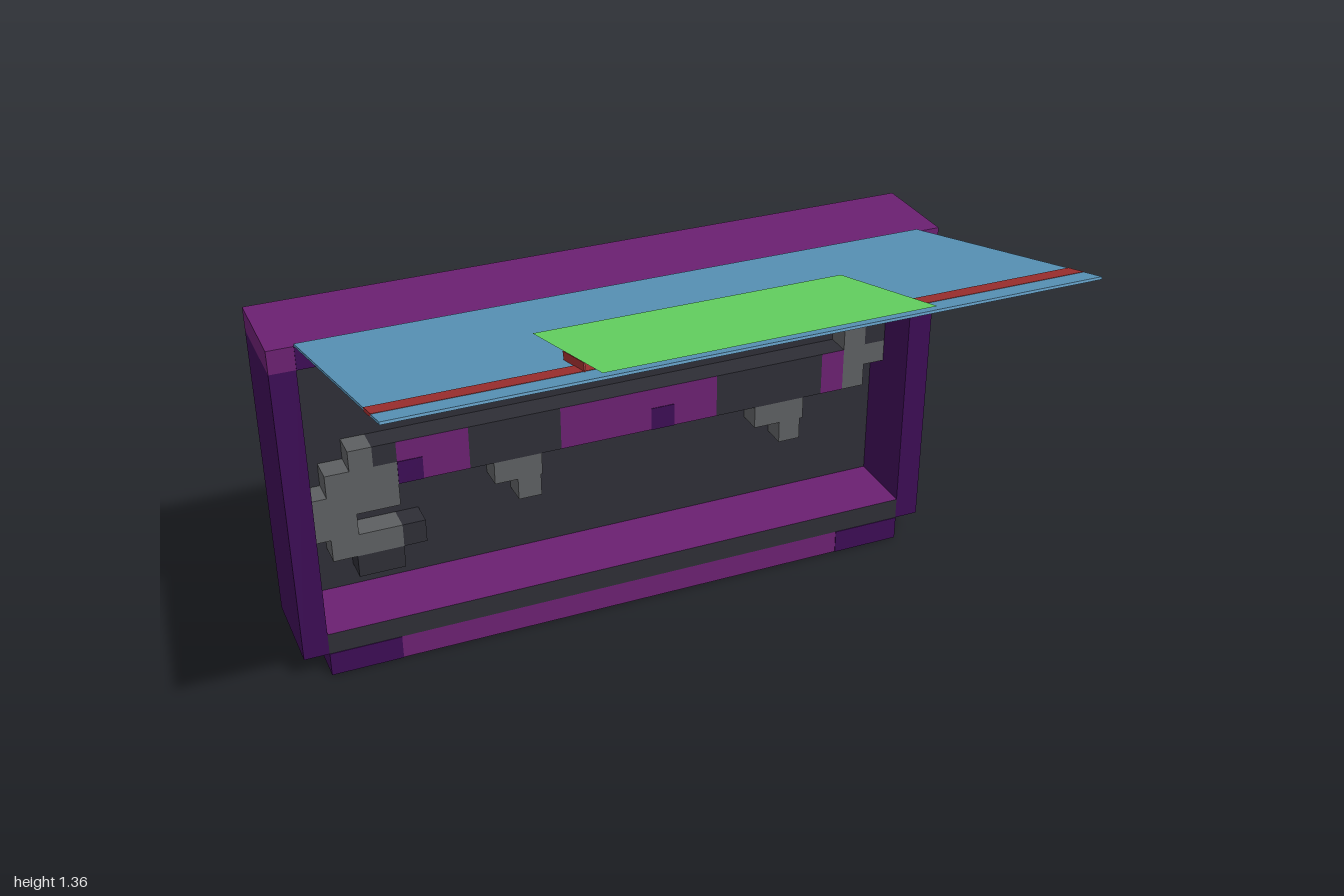
import * as THREE from 'three';

const mat = (name, color, side = THREE.FrontSide) => {
  const m = new THREE.MeshStandardMaterial({ color, side });
  m.name = name;
  return m;
};

export function createModel() {
  const purple = mat('purple', 0x6a2070);
  const dark = mat('dark purple', 0x3c0c54);
  const coal = mat('charcoal', 0x2d2d35);
  const grey = mat('stone grey', 0x5c5e60);
  const blue = mat('awning blue', 0x5a96bc);
  const red = mat('red', 0xa03030);
  const green = mat('green', 0x66d863, THREE.DoubleSide);

  const model = new THREE.Group();

  // Box from its limits; material may be a list ordered +x -x +y -y +z -z
  function box(name, material, x0, x1, y0, y1, z0, z1, parent = model) {
    const g = new THREE.BoxGeometry(x1 - x0, y1 - y0, z1 - z0);
    const m = new THREE.Mesh(g, material);
    m.position.set((x0 + x1) / 2, (y0 + y1) / 2, (z0 + z1) / 2);
    m.name = name;
    parent.add(m);
    return m;
  }

  const F = -0.338, B = -0.62, INNER = -0.56, IN = 0.925, SPLIT = -0.335;
  const plate = (name, material, x0, x1, y0, y1, z = F) =>
    box(name, material, x0, x1, y0, y1, z - 0.004, z + 0.002);

  // Side walls
  box('leftWall', [dark, dark, purple, purple, dark, coal], IN, 1, 0.075, 1.002, B, F);
  box('rightWall', [dark, dark, purple, purple, dark, dark], -1, -IN, 0.075, 1.002, B, F);

  // Roof, back wall and plinth, each split where the rear colour changes
  box('roofLeft', [purple, purple, purple, dark, purple, dark], SPLIT, 1, 1.002, 1.072, B, F);
  box('roofRight', [purple, purple, purple, dark, purple, purple], -1, SPLIT, 1.002, 1.072, B, F);
  box('backWallLeft', coal, SPLIT, IN, 0.143, 1.002, B, INNER);
  box('backWallRight', [coal, coal, coal, coal, coal, dark], -IN, SPLIT, 0.143, 1.002, B, INNER);
  for (const [name, x0, x1, rear] of [['plinthLeft', SPLIT, IN, coal], ['plinthRight', -IN, SPLIT, dark]]) {
    box(name, [dark, dark, purple, purple, purple, rear], x0, x1, 0, 0.075, B, F);
    box(name + 'Step', [dark, dark, purple, purple, coal, rear], x0, x1, 0.075, 0.143, B, F);
  }

  // Dark corner patches on the front of roof and plinth
  for (const s of [-1, 1]) {
    const span = (a, b) => (s > 0 ? [a, b] : [-b, -a]);
    plate('roofPatch', dark, ...span(0.782, IN), 1.002, 1.072);
    plate('plinthPatch', dark, ...span(0.71, IN), 0, 0.075);
  }

  // Shelf beam with alternating front bands
  const S = -0.482;
  const stops = [-0.645, -0.43, -0.148, 0.355, 0.71, 0.785];
  for (let i = 0; i < stops.length - 1; i++) {
    const face = i % 2 ? coal : purple;
    box('shelfBeam', [coal, coal, coal, coal, face, coal], stops[i], stops[i + 1], 0.502, 0.64, INNER, S);
  }
  plate('beamMark', dark, -0.645, -0.57, 0.502, 0.575, S);
  plate('beamMark', dark, 0.14, 0.215, 0.502, 0.575, S);

  // Blocky rubble at both ends and drips under the beam
  const blocks = [
    ['rubble', grey, [
      [-0.785, -0.715, 0.575, 0.64], [-0.857, -0.645, 0.502, 0.575],
      [-0.925, -0.645, 0.43, 0.502], [-0.925, -0.775, 0.36, 0.43],
      [-0.857, -0.645, 0.287, 0.36],
      [0.785, 0.857, 0.502, 0.715], [0.857, 0.925, 0.575, 0.645]]],
    ['darkRubble', coal, [
      [-0.715, -0.645, 0.575, 0.64], [-0.645, -0.575, 0.287, 0.36],
      [-0.785, -0.645, 0.215, 0.287], [0.857, 0.925, 0.645, 0.785]]],
    ['drip', grey, [
      [-0.358, -0.21, 0.43, 0.502], [-0.287, -0.215, 0.36, 0.43],
      [0.485, 0.65, 0.43, 0.502], [0.57, 0.64, 0.36, 0.43]]],
  ];
  for (const [name, material, list] of blocks)
    for (const r of list) box(name, material, ...r, INNER, S);

  // Raised awning, hinged on the roof's front edge
  const awning = new THREE.Group();
  awning.name = 'awning';
  awning.position.set(0, 1.08, F);
  awning.rotation.x = -Math.PI / 12;
  model.add(awning);
  box('awningPanel', blue, -IN, IN, -0.007, 0, 0, 0.93, awning);
  box('awningStripe', red, -IN, IN, -0.009, 0.001, 0.783, 0.852, awning);
  box('stripeStep', red, -0.29, 0.29, -0.009, 0.001, 0.715, 0.783, awning);
  box('stripeStep', red, -0.215, 0.215, -0.009, 0.001, 0.645, 0.715, awning);
  for (const s of [-1, 1])
    box('signBracket', red, s * 0.422 - 0.002, s * 0.422 + 0.002, 0, 0.022, 0.71, 0.855, awning);

  // Flat sign above the awning
  const sign = new THREE.Mesh(new THREE.PlaneGeometry(0.85, 0.498), green);
  sign.name = 'sign';
  sign.rotation.x = -Math.PI / 2;
  sign.position.set(0, 0.024, 0.737);
  awning.add(sign);

  return model;
}
